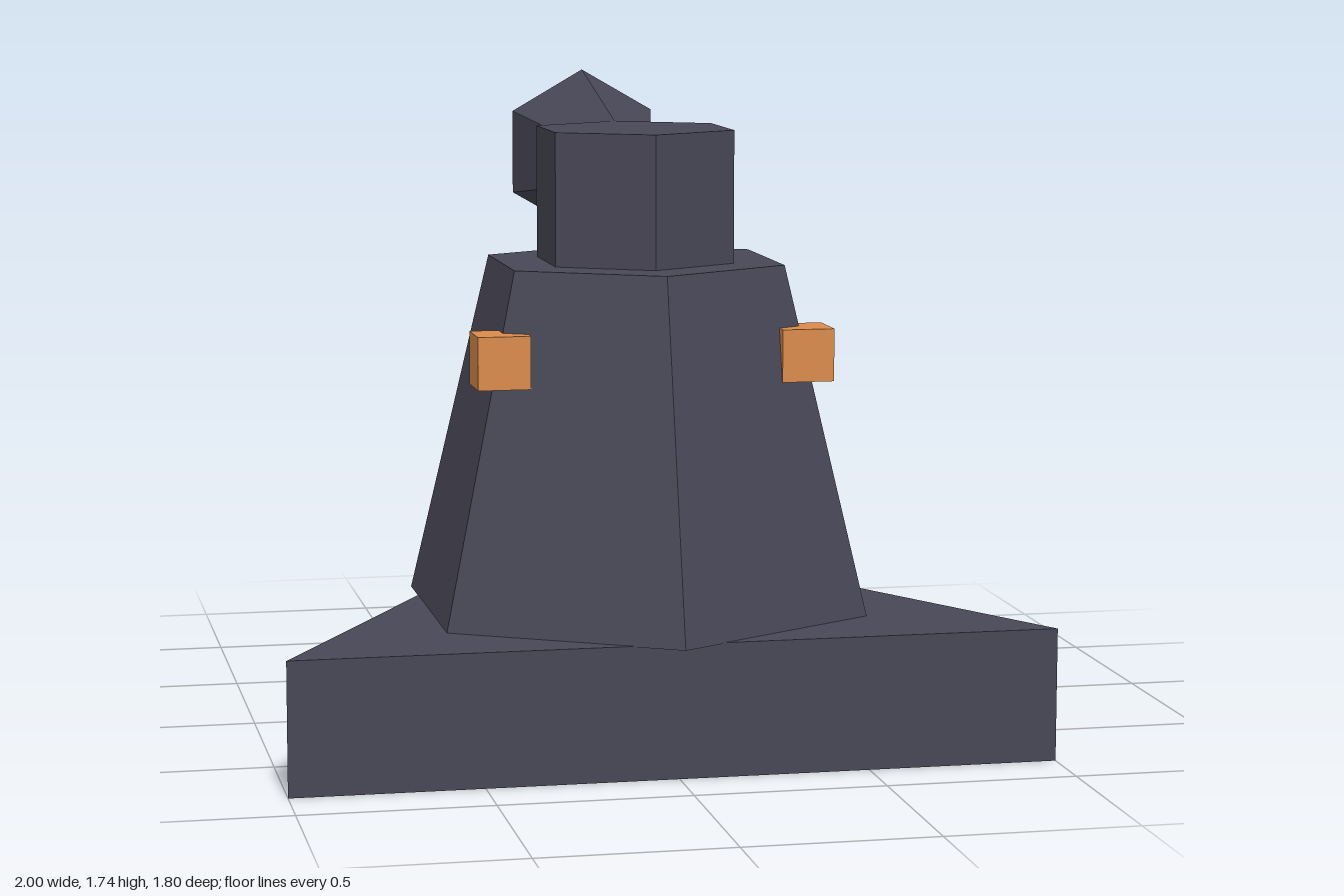
import * as THREE from 'three';

export function createModel() {
  const model = new THREE.Group();
  const slate = new THREE.MeshStandardMaterial({ color: 0x484756, flatShading: true });
  slate.name = 'darkSlate';
  const orange = new THREE.MeshStandardMaterial({ color: 0xda8b4c, flatShading: true });
  orange.name = 'glowOrange';
  const axisZ = 0.253; // vertical axis shared by base, body and head

  function add(name, geometry, material, x, y, z) {
    const mesh = new THREE.Mesh(geometry, material);
    mesh.name = name;
    mesh.position.set(x, y, z);
    model.add(mesh);
    return mesh;
  }

  // Triangular plinth, one corner pointing back
  const base = add('base', new THREE.CylinderGeometry(1.155, 1.155, 0.35, 3), slate, 0, 0.175, axisZ);
  base.rotation.y = Math.PI;

  // Tapered hexagonal body and the straight head above it
  add('body', new THREE.CylinderGeometry(0.414, 0.645, 0.922, 6), slate, 0, 0.809, axisZ);
  add('head', new THREE.CylinderGeometry(0.275, 0.275, 0.35, 6), slate, 0, 1.445, axisZ);

  // Flared hexagonal barrel, wide end pointing back
  const barrel = add('barrel', new THREE.CylinderGeometry(0.23, 0.06, 0.70, 6), slate, 0, 1.505, -0.14);
  barrel.rotation.x = -Math.PI / 2;

  // Faceted orb in the mouth of the barrel
  const orb = add('orb', new THREE.SphereGeometry(0.138, 6, 4), orange, 0, 1.505, -0.553);
  orb.rotation.y = Math.PI / 2;

  // Three axis-aligned blocks spaced evenly around the body
  for (let i = 0; i < 3; i++) {
    const a = Math.PI + (i * Math.PI * 2) / 3;
    add('block' + (i + 1), new THREE.BoxGeometry(0.138, 0.138, 0.138), orange,
      Math.sin(a) * 0.463, 1.042, axisZ + Math.cos(a) * 0.463);
  }
  return model;
}
